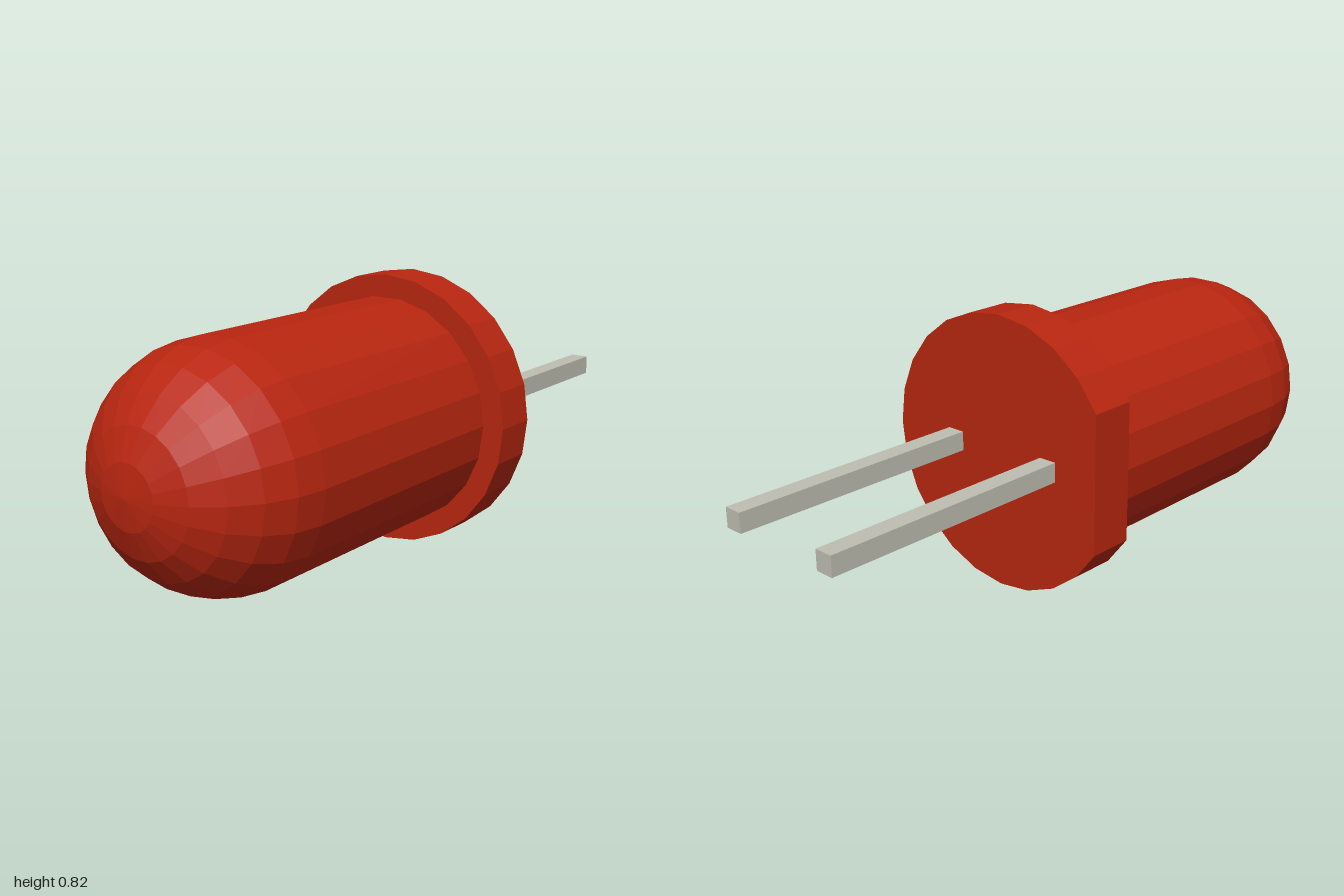
import * as THREE from 'three';

const CX = -0.028, CY = 0.412; // axis of the lamp body

function flat(geometry) {
  const g = geometry.index ? geometry.toNonIndexed() : geometry;
  g.computeVertexNormals();
  return g;
}

export function createModel() {
  const group = new THREE.Group();
  const red = new THREE.MeshStandardMaterial({ color: 0xb82610 });
  red.name = 'red plastic';
  const metal = new THREE.MeshStandardMaterial({ color: 0xbebeb2 });
  metal.name = 'lead metal';

  const add = (name, geometry, material, x, y, z) => {
    const mesh = new THREE.Mesh(geometry, material);
    mesh.name = name;
    mesh.position.set(x, y, z);
    group.add(mesh);
  };

  // Lens: 22-sided barrel ending in a hemisphere, turned to point forward
  const R = 0.345, domeZ = 0.655, rings = 6;
  const profile = [new THREE.Vector2(R, -0.08)];
  for (let i = 0; i <= rings; i++) {
    const a = (i / rings) * Math.PI / 2;
    profile.push(new THREE.Vector2(i === rings ? 0 : R * Math.cos(a), domeZ + R * Math.sin(a)));
  }
  const lens = new THREE.LatheGeometry(profile, 22, Math.PI / 2);
  lens.rotateX(Math.PI / 2);
  add('lens', flat(lens), red, CX, CY, 0);

  // Rim: 24-sided disc with one side cut flat
  const rim = [];
  for (let i = -10; i <= 10; i++) {
    const a = (i / 24) * Math.PI * 2;
    rim.push(new THREE.Vector2(0.411 * Math.cos(a), 0.411 * Math.sin(a)));
  }
  const rimGeometry = new THREE.ExtrudeGeometry(new THREE.Shape(rim), { depth: 0.14, bevelEnabled: false });
  add('rim', flat(rimGeometry), red, CX, CY, -0.22);

  // Two square leads
  for (const [name, x] of [['rightLead', -0.212], ['leftLead', 0.148]]) {
    add(name, new THREE.BoxGeometry(0.056, 0.058, 0.78), metal, x, 0.414, -0.61);
  }
  return group;
}
